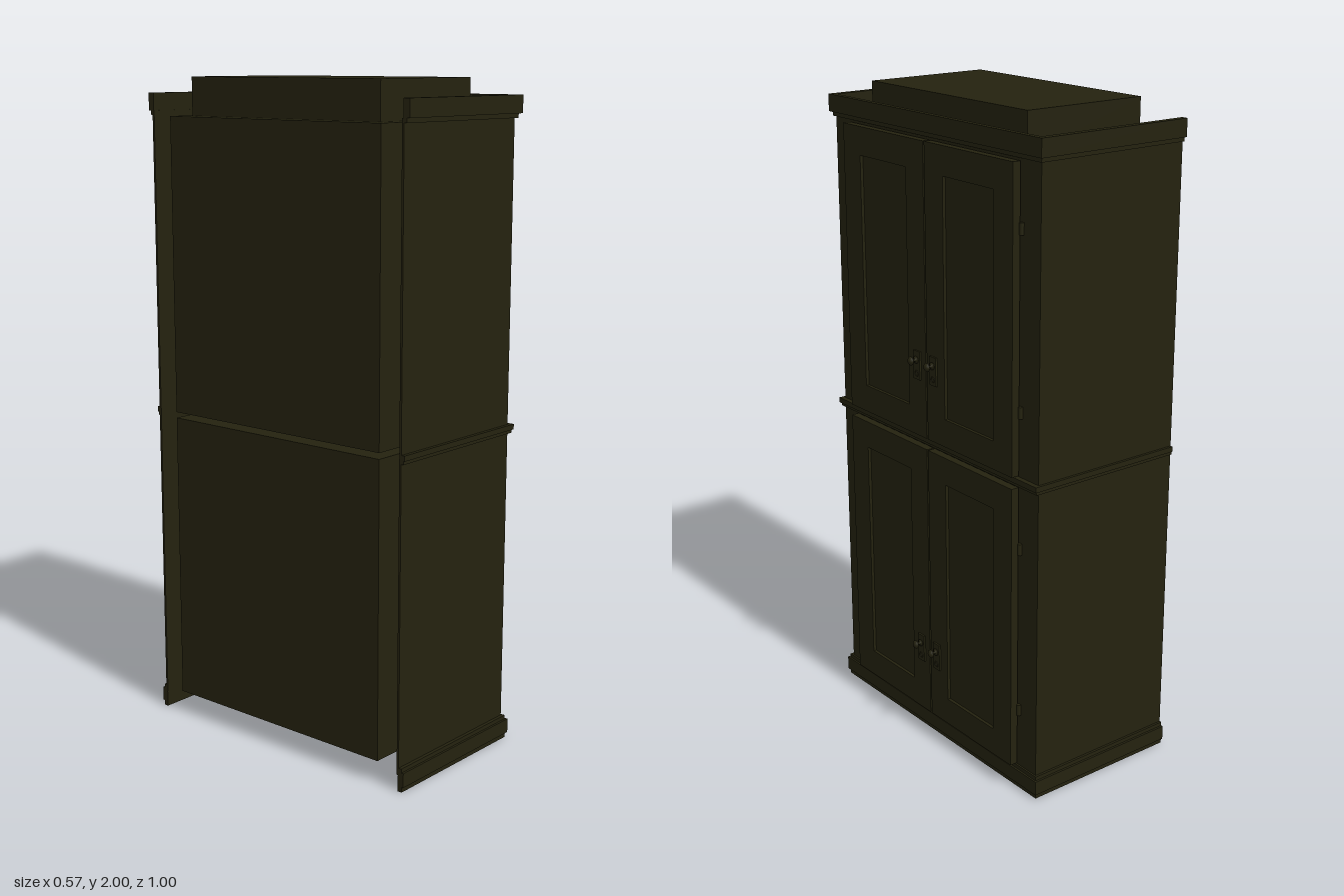
import * as THREE from 'three';

const wood = new THREE.MeshStandardMaterial({ color: 0x24220f });
wood.name = 'dark wood';

const BACK = -0.285;   // back plane
const FACE = 0.22;     // plane of the face frame, doors face +x
const MID = -0.003;    // centre of the cabinet across its width

function add(parent, name, geometry, x = 0, y = 0, z = 0) {
  const mesh = new THREE.Mesh(geometry, wood);
  mesh.name = name;
  mesh.position.set(x, y, z);
  parent.add(mesh);
  return mesh;
}

// Box given by its limits
function block(parent, name, x0, x1, y0, y1, z0, z1) {
  return add(parent, name, new THREE.BoxGeometry(x1 - x0, y1 - y0, z1 - z0),
    (x0 + x1) / 2, (y0 + y1) / 2, (z0 + z1) / 2);
}

// Strip running round both sides and the front, open at the back
function surround(parent, name, y0, y1, half, front) {
  const group = new THREE.Group();
  group.name = name;
  const inner = 0.477;
  for (const s of [-1, 1]) {
    const a = MID * 0.5 + s * inner, b = MID * 0.5 + s * half;
    block(group, name + 'Side', BACK, front, y0, y1, Math.min(a, b), Math.max(a, b));
  }
  block(group, name + 'Front', 0.217, front, y0, y1, -inner + MID * 0.5, inner + MID * 0.5);
  parent.add(group);
}

// Framed door with a sunken panel
function makeDoor(parent, y0, y1, z0, z1) {
  const door = new THREE.Group();
  door.name = 'door';
  const w = z1 - z0, h = y1 - y0, m = 0.085;
  const rect = (C, a, b) => new C([
    new THREE.Vector2(-a, -b), new THREE.Vector2(a, -b),
    new THREE.Vector2(a, b), new THREE.Vector2(-a, b)]);
  const shape = rect(THREE.Shape, w / 2, h / 2);
  shape.holes.push(rect(THREE.Path, w / 2 - m, h / 2 - m));
  const frame = new THREE.ExtrudeGeometry(shape, { depth: 0.025, bevelEnabled: false });
  frame.rotateY(Math.PI / 2);
  add(door, 'doorFrame', frame, 0.226, (y0 + y1) / 2, (z0 + z1) / 2);
  block(door, 'doorPanel', 0.227, 0.241, y0 + m, y1 - m, z0 + m, z1 - m);
  parent.add(door);
}

// Back plate, turned knob and key escutcheon
function makeHandle(parent, y, z) {
  const handle = new THREE.Group();
  handle.name = 'handle';
  block(handle, 'backPlate', 0.25, 0.257, y - 0.06, y + 0.027, z - 0.016, z + 0.016);
  const profile = [[0, 0], [0.011, 0], [0.011, 0.003], [0.004, 0.005], [0.004, 0.013],
    [0.013, 0.018], [0.013, 0.022], [0.007, 0.027], [0, 0.028]]
    .map(([r, t]) => new THREE.Vector2(r, t));
  const knob = new THREE.LatheGeometry(profile, 16);
  knob.rotateZ(-Math.PI / 2);
  add(handle, 'knob', knob, 0.257, y, z);
  const ring = new THREE.TorusGeometry(0.008, 0.0018, 6, 16);
  ring.rotateY(Math.PI / 2);
  add(handle, 'keyEscutcheon', ring, 0.257, y - 0.042, z);
  parent.add(handle);
}

export function createModel() {
  const cabinet = new THREE.Group();
  cabinet.name = 'cabinet';

  // Inner carcasses, one above the other, and the raised top box
  block(cabinet, 'lowerCarcass', BACK, FACE, 0.07, 0.968, -0.408, 0.4);
  block(cabinet, 'upperCarcass', BACK, FACE, 0.986, 1.885, -0.408, 0.4);
  block(cabinet, 'topBox', -0.235, 0.17, 1.88, 2, -0.365, 0.357);

  // Thin outer side panels and front stiles
  for (const s of [-1, 1]) {
    const outer = MID + s * 0.481, inner = MID + s * 0.474, edge = MID + s * 0.402;
    block(cabinet, 'sidePanel', BACK, FACE, 0.05, 1.9, Math.min(outer, inner), Math.max(outer, inner));
    block(cabinet, 'frontStile', 0.205, FACE, 0.05, 1.9, Math.min(edge, outer), Math.max(edge, outer));
  }

  // Stepped plinth, waist moulding and cornice
  surround(cabinet, 'plinthFoot', 0, 0.016, 0.491, 0.226);
  surround(cabinet, 'plinth', 0.016, 0.06, 0.497, 0.232);
  surround(cabinet, 'plinthCap', 0.06, 0.072, 0.49, 0.226);
  surround(cabinet, 'waistMoulding', 0.966, 0.976, 0.487, 0.23);
  surround(cabinet, 'waistMouldingUpper', 0.976, 0.992, 0.491, 0.236);
  surround(cabinet, 'corniceLip', 1.887, 1.9, 0.489, 0.226);
  surround(cabinet, 'cornice', 1.9, 1.952, 0.498, 0.234);

  // Two pairs of doors with their handles and hinges
  const tiers = [
    { y0: 0.08, y1: 0.963, knob: 0.31, hinges: [0.26, 0.775] },
    { y0: 0.998, y1: 1.88, knob: 1.235, hinges: [1.185, 1.7] },
  ];
  const hingeShape = new THREE.CylinderGeometry(0.007, 0.007, 0.034, 12);
  for (const t of tiers) {
    makeDoor(cabinet, t.y0, t.y1, -0.405, -0.011);
    makeDoor(cabinet, t.y0, t.y1, -0.005, 0.394);
    makeHandle(cabinet, t.knob, -0.046);
    makeHandle(cabinet, t.knob, 0.033);
    for (const y of t.hinges) {
      for (const z of [-0.409, 0.402]) add(cabinet, 'hinge', hingeShape, 0.224, y, z);
    }
  }
  return cabinet;
}
